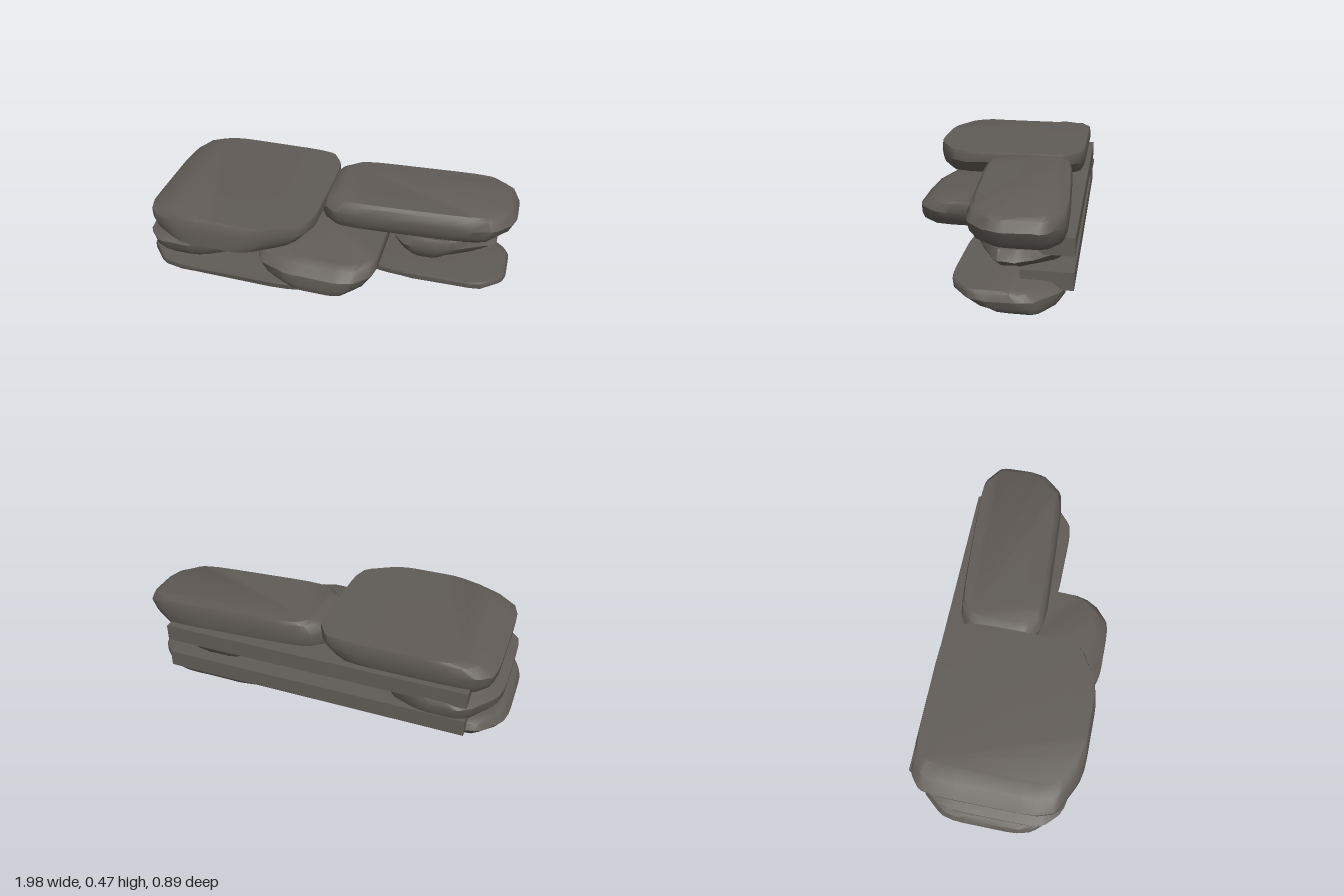
import * as THREE from 'three';
import { toCreasedNormals } from 'three/addons/utils/BufferGeometryUtils.js';

// Heights of the loft levels, and how much of the bottom and top inset each one takes.
const HEIGHT = [0, 0.08, 0.3, 0.62, 0.9, 1];
const BOTTOM = [1, 0.75, 0.4, 0.06, 0, 0];
const TOP = [0, 0, 0, 0.1, 0.55, 1];

// Unit-square plan with its four corners cut off (back left, clockwise from above), then rounded.
function planOutline(cuts, width, depth) {
  let pts = [];
  cuts.forEach(([cx, cz], k) => {
    const right = k === 1 || k === 2, front = k >= 2;
    const u = cx / width, v = cz / depth;
    const alongX = [right ? 1 - u : u, front ? 1 : 0];
    const alongZ = [right ? 1 : 0, front ? 1 - v : v];
    pts.push(...(k % 2 ? [alongX, alongZ] : [alongZ, alongX]));
  });
  for (let pass = 0; pass < 2; pass++) {
    pts = pts.flatMap((p, i) => {
      const q = pts[(i + 1) % pts.length];
      return [0.14, 0.86].map(t => [p[0] + (q[0] - p[0]) * t, p[1] + (q[1] - p[1]) * t]);
    });
  }
  return pts;
}

// Stone lofted inside x, y, z ranges; insets are [left, right, back, front] as seen from above.
// skew shifts z from one end of the stone to the other.
function stoneGeometry({ x, y, z, cuts, under, over, skew = 0 }) {
  const ring = planOutline(cuts, x[1] - x[0], z[1] - z[0]);
  const n = ring.length, pos = [], index = [];
  const top = HEIGHT.length - 1;
  HEIGHT.forEach((h, l) => {
    const [left, right, back, front] = under.map((b, k) => b * BOTTOM[l] + over[k] * TOP[l]);
    const x0 = x[0] + left, x1 = x[1] - right, z0 = z[0] + back, z1 = z[1] - front;
    const py = y[0] + (y[1] - y[0]) * h;
    ring.forEach(([u, v], i) => {
      // Slight chipping of the sides
      const chip = l > 0 && l < top ? 0.003 * Math.sin(i * 2.3 + l * 4.1 + x[0] * 9) : 0;
      pos.push(x0 + (x1 - x0) * u, py + chip, z0 + (z1 - z0) * v + skew * (u - 0.5));
    });
    for (let i = 0; i < n && l < top; i++) {
      const a = l * n + i, b = l * n + (i + 1) % n;
      index.push(a, a + n, b, b, a + n, b + n);
    }
  });
  // Flat bottom and top
  for (let i = 1; i < n - 1; i++) {
    const t = top * n;
    index.push(0, i, i + 1, t, t + i + 1, t + i);
  }
  const geo = new THREE.BufferGeometry();
  geo.setAttribute('position', new THREE.Float32BufferAttribute(pos, 3));
  geo.setIndex(index);
  return toCreasedNormals(geo, 0.6);
}

export function createModel() {
  const model = new THREE.Group();
  model.name = 'stackedStoneWall';
  const material = new THREE.MeshStandardMaterial({ color: 0x605b56 });
  material.name = 'warm grey stone';

  function add(name, geometry) {
    const mesh = new THREE.Mesh(geometry, material);
    mesh.name = name;
    model.add(mesh);
    return mesh;
  }
  const stone = (name, shape) => add(name, stoneGeometry(shape));

  // Top course
  stone('topLeftStone', {
    x: [-0.94, 0], y: [0.305, 0.463], z: [-0.42, 0.44],
    cuts: [[0.1, 0.08], [0.1, 0.12], [0.26, 0.13], [0.26, 0.12]],
    under: [0.06, 0.15, 0.03, 0], over: [0.16, 0.01, 0.01, 0.02],
  });
  stone('topRightStone', {
    x: [-0.06, 1], y: [0.304, 0.467], z: [-0.39, 0.085], skew: -0.06,
    cuts: [[0.1, 0.08], [0.14, 0.1], [0.12, 0.13], [0.12, 0.1]],
    under: [0.03, 0.09, 0.02, 0.04], over: [0.09, 0.07, 0.01, 0.04],
  });

  // Middle course
  stone('middleLeftStone', {
    x: [-0.98, -0.385], y: [0.136, 0.287], z: [-0.45, 0.38],
    cuts: [[0.16, 0.2], [0.2, 0.08], [0.28, 0.16], [0.1, 0.1]],
    under: [0.08, 0.02, 0.04, 0.06], over: [0.24, 0, 0.04, 0.06],
  });
  stone('middleCentreStone', {
    x: [-0.315, 0.34], y: [0.126, 0.288], z: [-0.3, 0.45],
    cuts: [[0.08, 0.1], [0.08, 0.1], [0.12, 0.11], [0.2, 0.08]],
    under: [0.12, 0.1, 0.04, 0.02], over: [0.02, 0.01, 0.02, 0.1],
  });
  stone('middleRightStone', {
    x: [0.315, 0.93], y: [0.142, 0.291], z: [-0.41, 0.05],
    cuts: [[0.1, 0.1], [0.18, 0.2], [0.3, 0.14], [0.1, 0.1]],
    under: [0.14, 0.24, 0.08, 0.05], over: [0.14, 0.12, 0.06, 0.02],
  });

  // Bottom course
  stone('bottomLeftStone', {
    x: [-1, 0.1], y: [0.002, 0.12], z: [-0.41, 0.405],
    cuts: [[0.14, 0.17], [0.18, 0.14], [0.12, 0.16], [0.17, 0.19]],
    under: [0.09, 0.12, 0.1, 0.23], over: [0.05, 0.04, 0.04, 0.01],
  });
  stone('bottomRightStone', {
    x: [0.08, 0.985], y: [0.01, 0.12], z: [-0.41, 0.13],
    cuts: [[0.3, 0.1], [0.16, 0.15], [0.13, 0.12], [0.3, 0.08]],
    under: [0.06, 0.04, 0.04, 0.18], over: [0.03, 0.03, 0.1, 0.01],
  });

  // Straight backing bars between the courses
  for (const [name, height] of [['lowerBackBar', 0.1215], ['upperBackBar', 0.2885]]) {
    add(name, new THREE.BoxGeometry(1.63, 0.087, 0.246)).position.set(0.005, height, -0.311);
  }
  return model;
}
